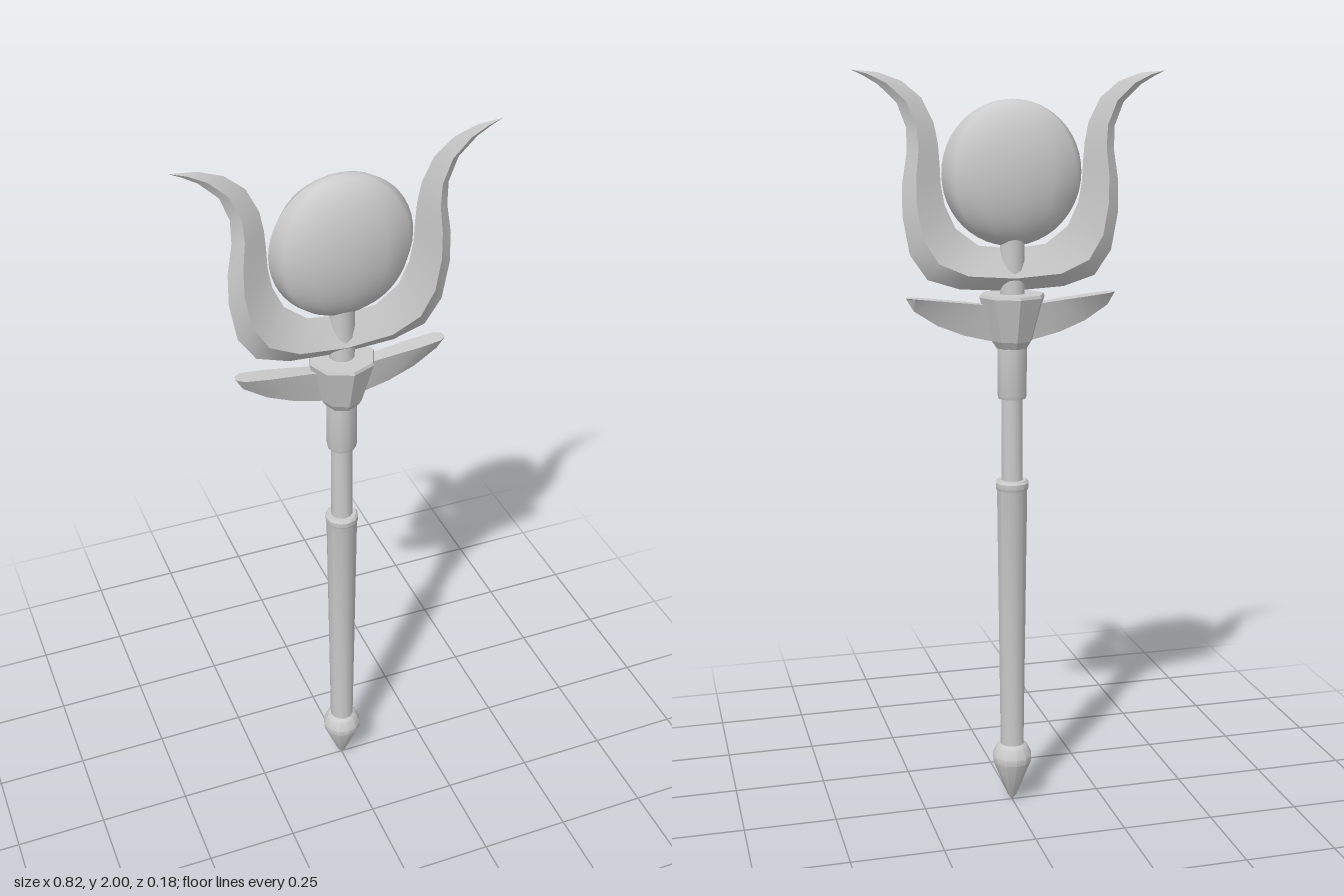
import * as THREE from 'three';
import { toCreasedNormals } from 'three/addons/utils/BufferGeometryUtils.js';

const material = new THREE.MeshStandardMaterial({ color: 0xcccccc });

function add(group, name, geometry) {
  const mesh = new THREE.Mesh(geometry, material);
  mesh.name = name;
  group.add(mesh);
  return mesh;
}

// Turned part from [radius, y] points, listed bottom to top
function turned(profile, sides, crease = 0.6) {
  const pts = profile.map(([r, y]) => new THREE.Vector2(r, y));
  return toCreasedNormals(new THREE.LatheGeometry(pts, sides), crease);
}

// Skin over closed cross-sections; side = -1 mirrors in x
function loft(sections, side, crease) {
  const pos = [];
  const tri = (a, b, c) => {
    for (const p of side > 0 ? [a, b, c] : [a, c, b]) pos.push(p[0] * side, p[1], p[2]);
  };
  for (let i = 0; i < sections.length - 1; i++) {
    const s = sections[i], t = sections[i + 1], n = s.length;
    for (let k = 0; k < n; k++) {
      const m = (k + 1) % n;
      tri(s[k], t[k], t[m]);
      tri(s[k], t[m], s[m]);
    }
  }
  const geometry = new THREE.BufferGeometry();
  geometry.setAttribute('position', new THREE.Float32BufferAttribute(pos, 3));
  geometry.computeVertexNormals();
  return toCreasedNormals(geometry, crease);
}

// Horn stations: outer x, y, inner x, y, half depth at the ridge
const hornStations = [
  [0.00, 1.44, 0.00, 1.55, 0.038],
  [0.14, 1.448, 0.09, 1.56, 0.035],
  [0.225, 1.475, 0.15, 1.605, 0.03],
  [0.27, 1.54, 0.178, 1.665, 0.026],
  [0.288, 1.64, 0.188, 1.72, 0.024],
  [0.287, 1.72, 0.19, 1.77, 0.022],
  [0.274, 1.80, 0.194, 1.82, 0.02],
  [0.275, 1.86, 0.204, 1.87, 0.017],
  [0.298, 1.92, 0.235, 1.932, 0.014],
  [0.345, 1.965, 0.285, 1.973, 0.01],
  [0.385, 1.988, 0.345, 1.994, 0.006],
  [0.412, 2.0, 0.412, 2.0, 0],
];

// Wing stations: x, top y, bottom y, half depth at the top
const wingStations = [
  [0.00, 1.395, 1.30, 0.016],
  [0.06, 1.405, 1.31, 0.018],
  [0.13, 1.414, 1.327, 0.021],
  [0.20, 1.422, 1.355, 0.024],
  [0.262, 1.429, 1.395, 0.022],
  [0.28, 1.43, 1.425, 0.010],
  [0.281, 1.428, 1.428, 0],
];

export function createModel() {
  const group = new THREE.Group();

  // Pointed foot, tapered grip with a rim, and the shaft
  add(group, 'pommel', turned([[0, 0], [0.012, 0.016], [0.054, 0.12], [0.055, 0.138], [0.043, 0.165], [0.03, 0.175], [0, 0.175]], 12));
  add(group, 'grip', turned([[0, 0.168], [0.033, 0.168], [0.042, 0.905], [0.045, 0.912], [0.045, 0.925], [0.04, 0.932], [0, 0.932]], 12));
  add(group, 'shaft', turned([[0.029, 0.9], [0.029, 1.2]], 12));
  add(group, 'neckCollar', turned([[0, 1.155], [0.037, 1.155], [0.04, 1.165], [0.04, 1.3], [0, 1.3]], 12));

  // Eight-sided flared cup
  add(group, 'cup', turned([[0, 1.29], [0.042, 1.29], [0.055, 1.31], [0.088, 1.425], [0.085, 1.433], [0, 1.433]], 8, 0.2));
  add(group, 'strut', turned([[0.033, 1.42], [0.033, 1.58]], 12));

  // Flattened disc held between the horns
  const disc = add(group, 'disc', new THREE.SphereGeometry(0.186, 12, 24));
  disc.scale.z = 0.415;
  disc.position.y = 1.743;

  // Mirrored horns and wings
  const hornSections = hornStations.map(([ox, oy, ix, iy, d]) => {
    const rx = ox + (ix - ox) * 0.33, ry = oy + (iy - oy) * 0.33;
    return [[ox, oy, 0], [rx, ry, d], [ix, iy, 0], [rx, ry, -d]];
  });
  const wingSections = wingStations.map(([x, top, bottom, d]) => [[x, bottom, 0], [x, top, d], [x, top, -d]]);
  for (const [side, label] of [[1, 'left'], [-1, 'right']]) {
    add(group, label + 'Horn', loft(hornSections, side, 0.6));
    add(group, label + 'Wing', loft(wingSections, side, 0.5));
  }
  return group;
}
